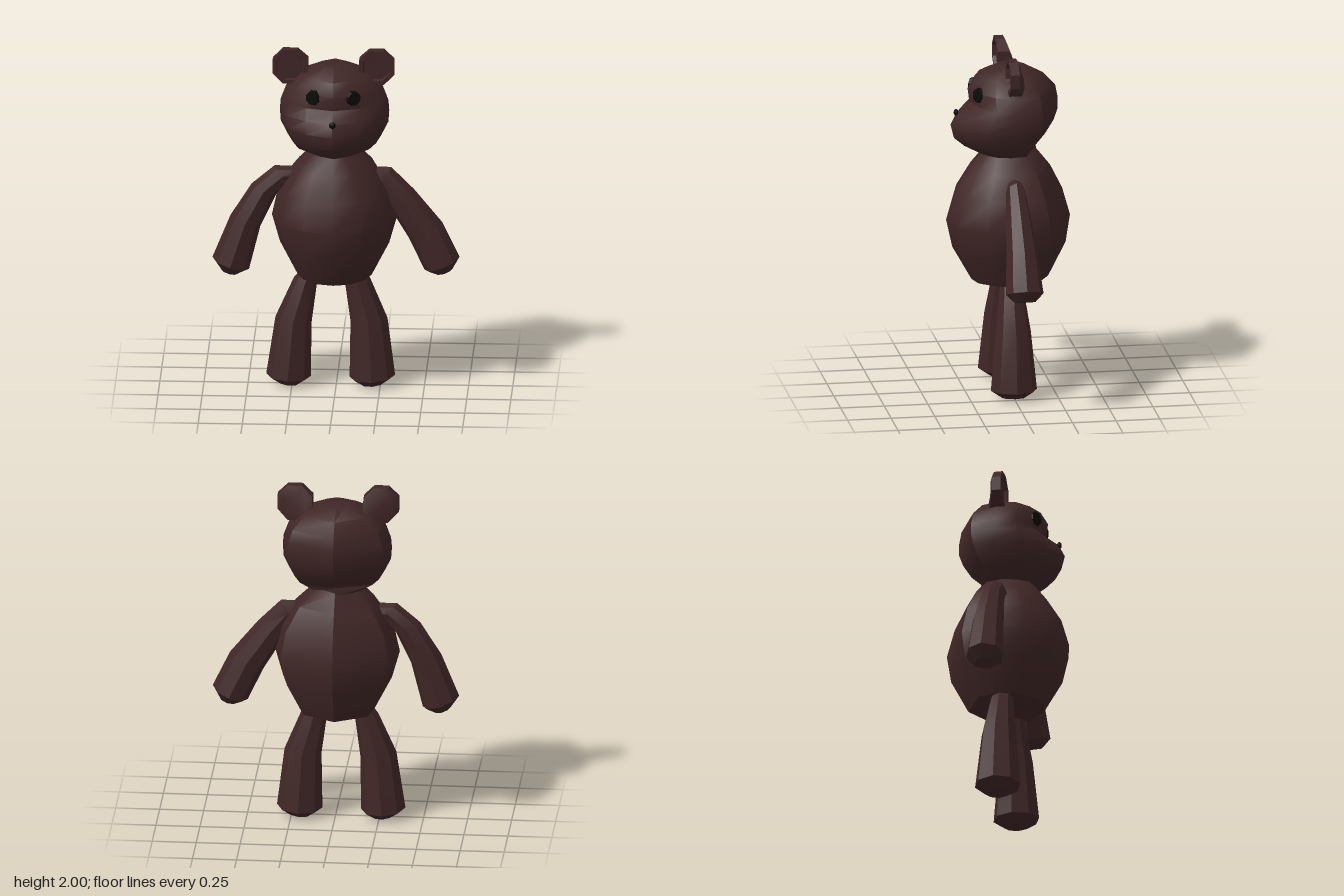
import * as THREE from 'three';
import { toCreasedNormals } from 'three/addons/utils/BufferGeometryUtils.js';

const mat = (name, color) => Object.assign(new THREE.MeshStandardMaterial({ color }), { name });
const fur = mat('dark brown fur', 0x402626);
const black = mat('button black', 0x0b0b0b);
const CX = -0.01; // the torso sits slightly off centre

// Skin a list of closed rings, closing both ends with fans
function loft(rings, crease = 0.7) {
  const n = rings[0].length, tris = [];
  const centre = ring => ring.reduce((s, p) => s.add(p), new THREE.Vector3()).divideScalar(n);
  const first = rings[0], last = rings[rings.length - 1];
  const c0 = centre(first), c1 = centre(last);
  for (let j = 0; j < n; j++) {
    const k = (j + 1) % n;
    tris.push([c0, first[k], first[j]], [c1, last[j], last[k]]);
    for (let i = 0; i < rings.length - 1; i++) {
      const a = rings[i], b = rings[i + 1];
      tris.push([a[j], a[k], b[k]], [a[j], b[k], b[j]]);
    }
  }
  // Turn the faces outwards whichever way the rings run
  const volume = tris.reduce((s, [a, b, c]) => s + a.dot(b.clone().cross(c)), 0);
  if (volume < 0) tris.forEach(t => t.reverse());
  const geo = new THREE.BufferGeometry().setFromPoints(tris.flat());
  return toCreasedNormals(geo, crease);
}

// Rows of [y, half width, front depth, back depth] swept round an outline
function rounded(rows, half) {
  const outline = [...half, ...half.slice(1, -1).reverse().map(([x, z]) => [-x, z])];
  return loft(rows.map(([y, w, f, b]) => outline.map(([x, z]) =>
    new THREE.Vector3(CX + x * w, y, z > 0 ? z * f : z * b))));
}

// Rows of [outer x, outer y, inner x, inner y, half depth] as eight-sided sections
function limb(rows) {
  return loft(rows.map(([ox, oy, ix, iy, d]) => Array.from({ length: 8 }, (_, i) => {
    const a = i * Math.PI / 4, c = Math.cos(a) / 2;
    return new THREE.Vector3((ox + ix) / 2 + (ox - ix) * c, (oy + iy) / 2 + (oy - iy) * c, d * Math.sin(a));
  })), 0.6);
}

// Dished octagonal ear whose lower inner back runs into the head
function earGeometry(side) {
  const rows = [[0.005, 0.018], [0.078, 0.018], [0.084, 0.036], [0.108, 0.036], [0.108, -0.015], [0.07, -0.03]];
  return loft(rows.map(([r, z]) => Array.from({ length: 8 }, (_, i) => {
    const a = (i + 0.5) * Math.PI / 4, x = r * Math.cos(a), y = r * Math.sin(a);
    const root = z < 0 ? Math.max(0, -x * side - y) * 0.35 : 0;
    return new THREE.Vector3(x, y, z - root);
  })), 0.6);
}

export function createModel() {
  const model = new THREE.Group();
  model.name = 'teddyBear';
  const add = (name, geo, material = fur) => {
    const mesh = new THREE.Mesh(geo, material);
    mesh.name = name;
    model.add(mesh);
    return mesh;
  };

  // Round in front, coarser facets behind
  add('body', rounded([
    [0.6, 0.02, 0.02, 0.02], [0.655, 0.21, 0.21, 0.23], [0.85, 0.31, 0.32, 0.33],
    [1.01, 0.355, 0.355, 0.355], [1.17, 0.32, 0.31, 0.31], [1.31, 0.235, 0.225, 0.24],
    [1.41, 0.13, 0.15, 0.16],
  ], [[0, 1], [0.48, 0.88], [0.83, 0.48], [1, 0], [0.87, -0.56], [0, -1]]));

  // Head with the muzzle swelling out of its lower front
  add('head', rounded([
    [1.39, 0.13, 0.155, 0.165], [1.44, 0.235, 0.25, 0.155], [1.49, 0.265, 0.31, 0.21],
    [1.57, 0.305, 0.33, 0.26], [1.64, 0.31, 0.295, 0.285], [1.7, 0.305, 0.222, 0.285],
    [1.78, 0.275, 0.232, 0.27], [1.855, 0.2, 0.19, 0.2], [1.912, 0.075, 0.05, 0.09],
  ], [[0, 1], [0.5, 0.78], [0.85, 0.46], [1, 0], [0.88, -0.54], [0, -1]]));

  // Ears and button eyes, mirrored about the head
  for (const side of [1, -1]) {
    const label = side > 0 ? 'left' : 'right';
    add(label + 'Ear', earGeometry(side)).position.set(CX - 0.005 + side * 0.245, 1.9, 0);

    const disc = new THREE.CylinderGeometry(0.04, 0.047, 0.03, 8).rotateY(Math.PI / 8).rotateX(Math.PI / 2);
    const eye = add(label + 'Eye', toCreasedNormals(disc, 0.6), black);
    eye.position.set(CX + side * 0.114, 1.765, 0.184);
    eye.rotation.y = side * 0.5;
  }

  const nose = add('nose', new THREE.SphereGeometry(0.02, 8, 6), black);
  nose.scale.z = 0.7;
  nose.position.set(CX, 1.64, 0.298);

  // Arms, posed a little differently on each side
  add('leftArm', limb([
    [0.2, 1.3, 0.18, 1.19, 0.045], [0.31, 1.3, 0.24, 1.16, 0.055], [0.44, 1.17, 0.29, 1.08, 0.07],
    [0.6, 0.975, 0.41, 0.88, 0.09], [0.698, 0.77, 0.5, 0.69, 0.108], [0.66, 0.7, 0.565, 0.668, 0.06],
  ]));
  add('rightArm', limb([
    [-0.2, 1.3, -0.19, 1.2, 0.045], [-0.35, 1.3, -0.25, 1.2, 0.055], [-0.48, 1.19, -0.34, 1.13, 0.07],
    [-0.6, 1.0, -0.43, 0.94, 0.09], [-0.702, 0.75, -0.495, 0.68, 0.108], [-0.655, 0.68, -0.56, 0.652, 0.06],
  ]));

  // Legs, flaring to blunt feet
  add('leftLeg', limb([
    [0.16, 0.69, 0.045, 0.66, 0.06], [0.19, 0.64, 0.05, 0.6, 0.068], [0.29, 0.4, 0.08, 0.38, 0.1],
    [0.333, 0.06, 0.075, 0.045, 0.132], [0.27, 0.015, 0.14, 0.003, 0.07],
  ]));
  add('rightLeg', limb([
    [-0.19, 0.69, -0.1, 0.66, 0.06], [-0.24, 0.635, -0.11, 0.6, 0.068], [-0.345, 0.4, -0.14, 0.37, 0.1],
    [-0.397, 0.06, -0.145, 0.045, 0.132], [-0.33, 0.015, -0.21, 0.003, 0.07],
  ]));

  return model;
}
